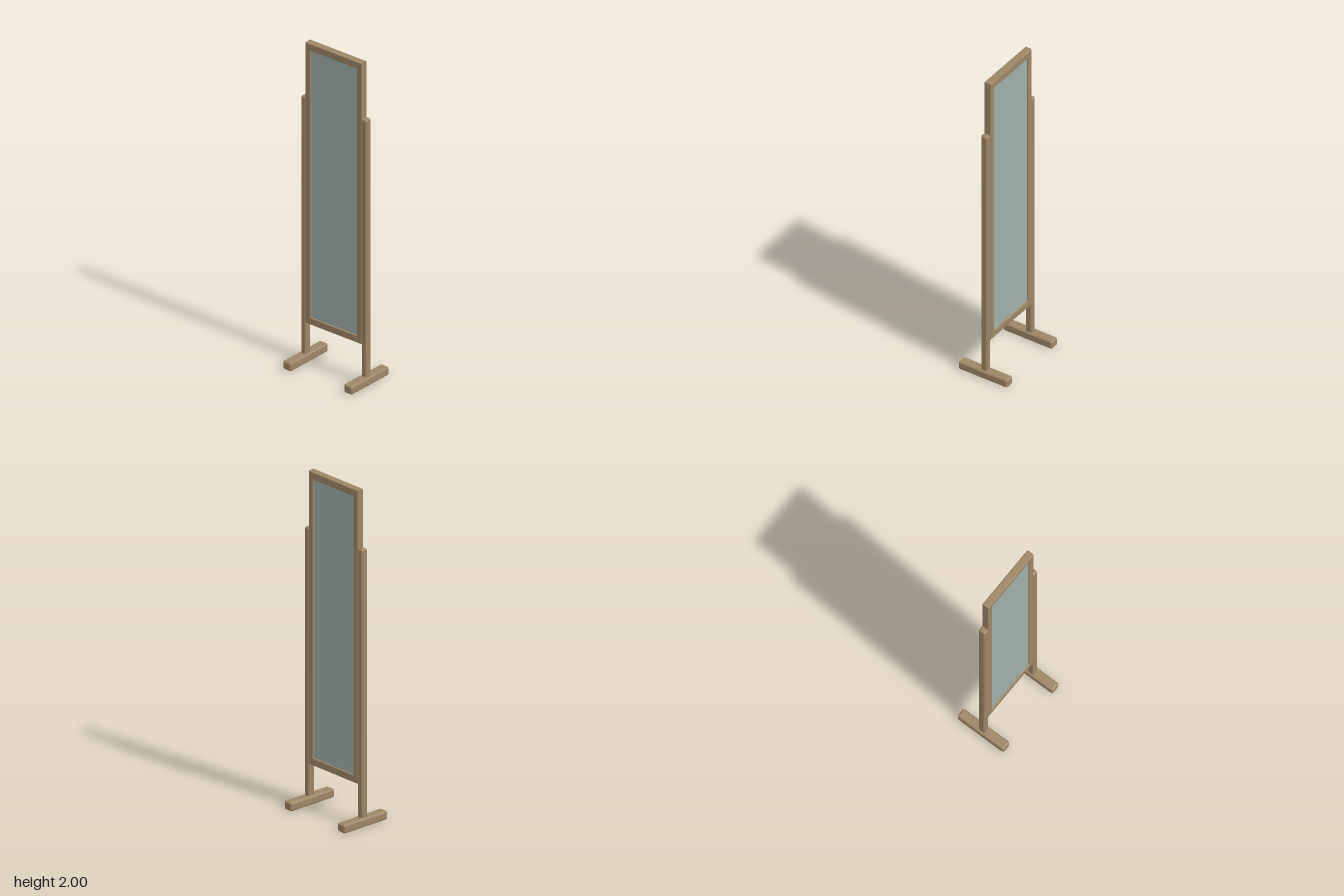
import * as THREE from 'three';
import { RoundedBoxGeometry } from 'three/addons/geometries/RoundedBoxGeometry.js';

const wood = new THREE.MeshStandardMaterial({ color: 0x9c8668 });
wood.name = 'wood';
const glass = new THREE.MeshStandardMaterial({ color: 0xa0aea8 });
glass.name = 'mirrorGlass';

// Adds a named mesh at a position
function add(group, name, geometry, material, x, y, z) {
  const mesh = new THREE.Mesh(geometry, material);
  mesh.name = name;
  mesh.position.set(x, y, z);
  group.add(mesh);
}

// Traces a rectangle centred on the origin
function rectangle(path, w, h) {
  path.moveTo(-w / 2, -h / 2);
  path.lineTo(w / 2, -h / 2);
  path.lineTo(w / 2, h / 2);
  path.lineTo(-w / 2, h / 2);
  path.closePath();
  return path;
}

export function createModel() {
  const model = new THREE.Group();
  model.name = 'standingMirror';

  // Bevelled frame with a rectangular opening
  const bottom = 0.247, top = 2, width = 0.406, depth = 0.044;
  const height = top - bottom, middle = (top + bottom) / 2;
  const openW = 0.334, openH = 1.666, bevel = 0.005;
  const outline = rectangle(new THREE.Shape(), width - 2 * bevel, height - 2 * bevel);
  outline.holes.push(rectangle(new THREE.Path(), openW + 2 * bevel, openH + 2 * bevel));
  const frame = new THREE.ExtrudeGeometry(outline, {
    depth: depth - 2 * bevel, bevelEnabled: true,
    bevelSize: bevel, bevelThickness: bevel, bevelSegments: 3,
  });
  frame.translate(0, 0, -depth / 2 + bevel);
  add(model, 'frame', frame, wood, 0, middle, 0);

  // Mirror pane, slightly recessed on both faces
  add(model, 'mirrorPane', new THREE.BoxGeometry(openW + 0.01, openH + 0.01, 0.026), glass, 0, middle, 0);

  // Side posts and feet
  const post = new RoundedBoxGeometry(0.038, 1.625, 0.044, 4, 0.012);
  const foot = new RoundedBoxGeometry(0.06, 0.052, 0.326, 4, 0.012);
  for (const [side, s] of [['left', 1], ['right', -1]]) {
    add(model, side + 'Post', post, wood, s * 0.219, 0.03 + 1.625 / 2, 0);
    add(model, side + 'Foot', foot, wood, s * 0.22, 0.026, 0);
  }
  return model;
}
